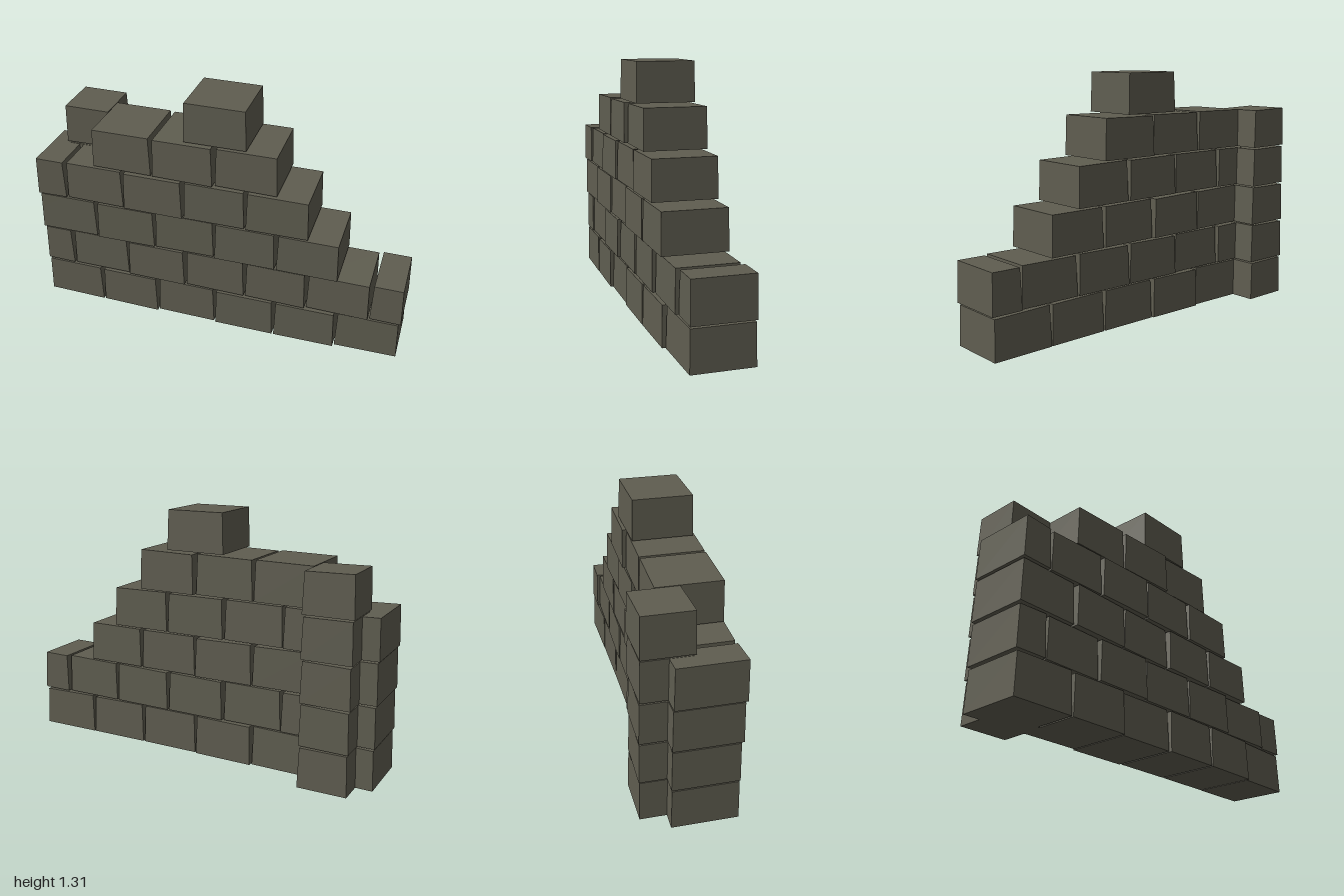
import * as THREE from 'three';

const stone = new THREE.MeshStandardMaterial({ color: 0x5f5d50 });
stone.name = 'darkStone';

const PITCH = 0.22;
const HEIGHT = 0.21;

// Block whose sides lean in slightly towards the top
function block(name, row, x0, x1, z0, z1) {
  const w = x1 - x0, d = z1 - z0;
  const geo = new THREE.BoxGeometry(w, HEIGHT, d);
  const pos = geo.attributes.position;
  const skew = 0.003 * Math.sin(row * 5 + x0 * 17); // small hand-cut irregularity
  for (let i = 0; i < pos.count; i++) {
    const x = pos.getX(i), y = pos.getY(i), z = pos.getZ(i);
    if (y > 0) {
      pos.setX(i, x - Math.sign(x) * 0.007);
      pos.setZ(i, z - Math.sign(z) * 0.003);
      pos.setY(i, y + skew * Math.sign(x) * 0.7);
    }
    pos.setZ(i, pos.getZ(i) + skew * Math.sign(x));
  }
  geo.computeVertexNormals();
  const mesh = new THREE.Mesh(geo, stone);
  mesh.name = name;
  mesh.position.set((x0 + x1) / 2, row * PITCH + 0.005 + HEIGHT / 2, (z0 + z1) / 2);
  return mesh;
}

// Each course from the ground up: back z, front z, then the [left, right] x of its blocks
const courses = [
  { z: [-0.105, 0.225], x: [[-1, -0.675], [-0.665, -0.342], [-0.335, -0.012], [-0.002, 0.32], [0.33, 0.655], [0.662, 0.99]] },
  { z: [-0.108, 0.222], x: [[-1, -0.838], [-0.828, -0.508], [-0.5, -0.178], [-0.168, 0.155], [0.165, 0.488], [0.498, 0.823], [0.832, 0.995]] },
  { z: [-0.11, 0.226], x: [[-1, -0.678], [-0.665, -0.342], [-0.335, -0.013], [-0.002, 0.32], [0.332, 0.652]] },
  { z: [-0.108, 0.23], x: [[-1, -0.838], [-0.828, -0.508], [-0.5, -0.178], [-0.168, 0.155], [0.166, 0.488]] },
  { z: [-0.112, 0.22], x: [[-0.665, -0.345], [-0.335, -0.013], [-0.002, 0.32]] },
  { z: [-0.105, 0.205], x: [[-0.167, 0.157]] },
];

export function createModel() {
  const model = new THREE.Group();
  model.name = 'ruinedWall';

  // Stepped running-bond wall
  courses.forEach(({ z, x }, row) => {
    const course = new THREE.Group();
    course.name = `course${row + 1}`;
    x.forEach(([x0, x1], i) => {
      const shift = 0.006 * Math.sin(row * 3.1 + i * 2.3);
      // Blocks at the low right end sit a little further back
      const back = x1 > 0.7 ? 0.015 : 0;
      course.add(block('wallBlock', row, x0, x1, z[0] + shift, z[1] + shift - back));
    });
    model.add(course);
  });

  // Square buttress set into the back of the wall
  const buttress = new THREE.Group();
  buttress.name = 'buttress';
  for (let row = 0; row < 5; row++) {
    buttress.add(block('buttressBlock', row, -0.912, -0.655, -0.24, 0.012));
  }
  model.add(buttress);

  return model;
}
